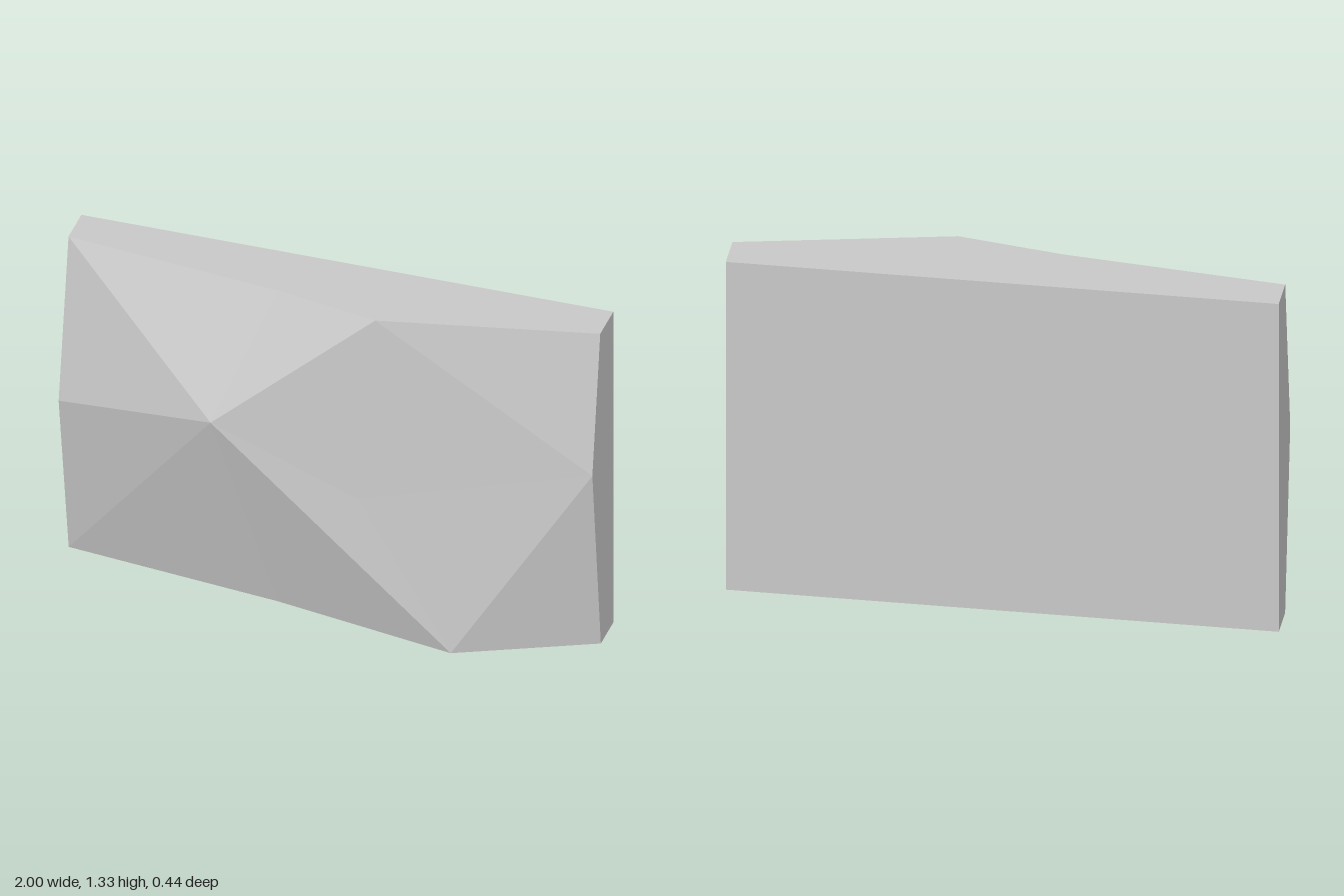
import * as THREE from 'three';

const BACK = -0.22;

// Front rim, counter-clockwise seen from the front
const rim = [
  [-1, 0, -0.075], [-0.18, 0, 0.025], [0.51, 0, 0.15], [1, 0, -0.077], [1, 0.78, 0.02],
  [1, 1.333, -0.07], [0.21, 1.333, 0.10], [-0.18, 1.333, 0.025], [-1, 1.333, -0.073], [-1, 0.70, 0.04],
];
const peak = [-0.37, 0.85, 0.22];
const shoulder = [0.16, 0.59, 0.152];

function facetMesh(name, triangles, material) {
  const geometry = new THREE.BufferGeometry();
  geometry.setAttribute('position', new THREE.Float32BufferAttribute(triangles.flat(2), 3));
  geometry.computeVertexNormals();
  const mesh = new THREE.Mesh(geometry, material);
  mesh.name = name;
  return mesh;
}

export function createModel() {
  const group = new THREE.Group();
  group.name = 'facetedPanel';
  const stone = new THREE.MeshStandardMaterial({ color: 0xc8c8c8, flatShading: true });
  stone.name = 'light grey';

  const n = rim.length;
  const next = (i) => rim[(i + 1) % n];
  const toBack = ([x, y]) => [x, y, BACK];

  // Faceted front: fans around the two raised points, plus the right corners
  const front = [];
  for (const i of [0, 1, 6, 7, 8, 9]) front.push([peak, rim[i], next(i)]);
  front.push(
    [shoulder, peak, rim[2]], [shoulder, rim[2], rim[4]],
    [shoulder, rim[4], rim[6]], [shoulder, rim[6], peak],
    [rim[2], rim[3], rim[4]], [rim[4], rim[5], rim[6]],
  );
  group.add(facetMesh('facetedFront', front, stone));

  // Straight sides from the rim to the flat back
  const sides = [];
  const back = [];
  for (let i = 0; i < n; i++) {
    const a = rim[i], b = next(i);
    sides.push([a, toBack(a), toBack(b)], [a, toBack(b), b]);
    back.push([[0, 0.667, BACK], toBack(b), toBack(a)]);
  }
  group.add(facetMesh('sides', sides, stone));
  group.add(facetMesh('flatBack', back, stone));
  return group;
}
